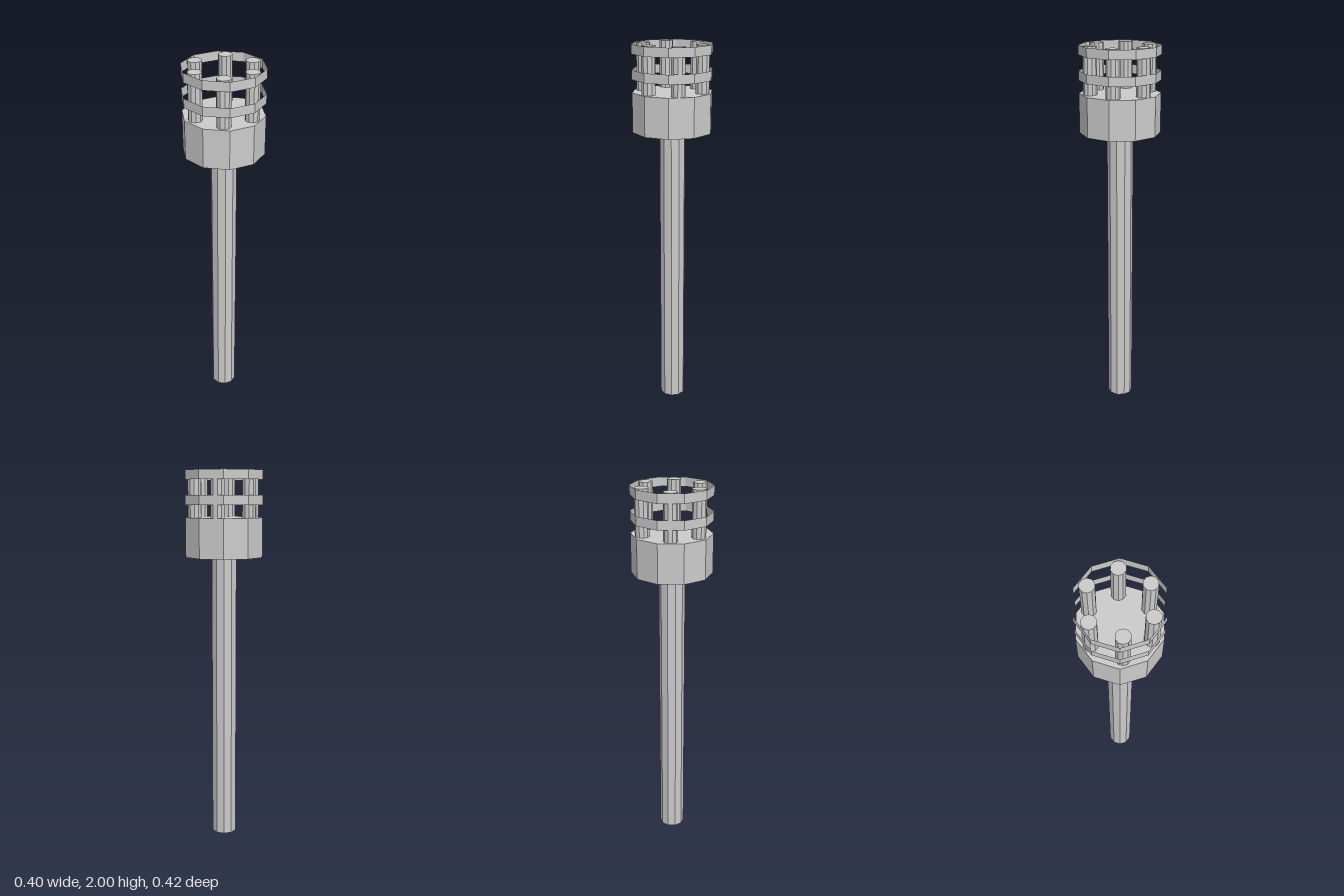
import * as THREE from 'three';

const SIDES = 10;

export function createModel() {
  const group = new THREE.Group();
  const solid = new THREE.MeshStandardMaterial({ color: 0xcccccc, flatShading: true });
  const thin = new THREE.MeshStandardMaterial({ color: 0xcccccc, flatShading: true, side: THREE.DoubleSide });

  // Ten-sided prism between two heights; open ones are thin bands without caps
  function prism(name, radius, y0, y1, x = 0, z = 0, open = false) {
    const geometry = new THREE.CylinderGeometry(radius, radius, y1 - y0, SIDES, 1, open);
    const mesh = new THREE.Mesh(geometry, open ? thin : solid);
    mesh.name = name;
    mesh.position.set(x, (y0 + y1) / 2, z);
    group.add(mesh);
  }

  // Handle and head
  prism('shaft', 0.068, 0, 1.555);
  prism('headBase', 0.21, 1.555, 1.76);

  // Thin bands around the cage
  prism('middleBand', 0.21, 1.825, 1.873, 0, 0, true);
  prism('topBand', 0.21, 1.952, 2, 0, 0, true);

  // Slightly uneven circle of posts standing on the head
  const posts = [
    [0.159, 0.006], [0.075, 0.139], [-0.082, 0.135],
    [-0.16, -0.002], [-0.068, -0.146], [0.089, -0.135],
  ];
  posts.forEach(([x, z], i) => prism(`post${i + 1}`, 0.036, 1.76, 2, x, z));

  return group;
}
